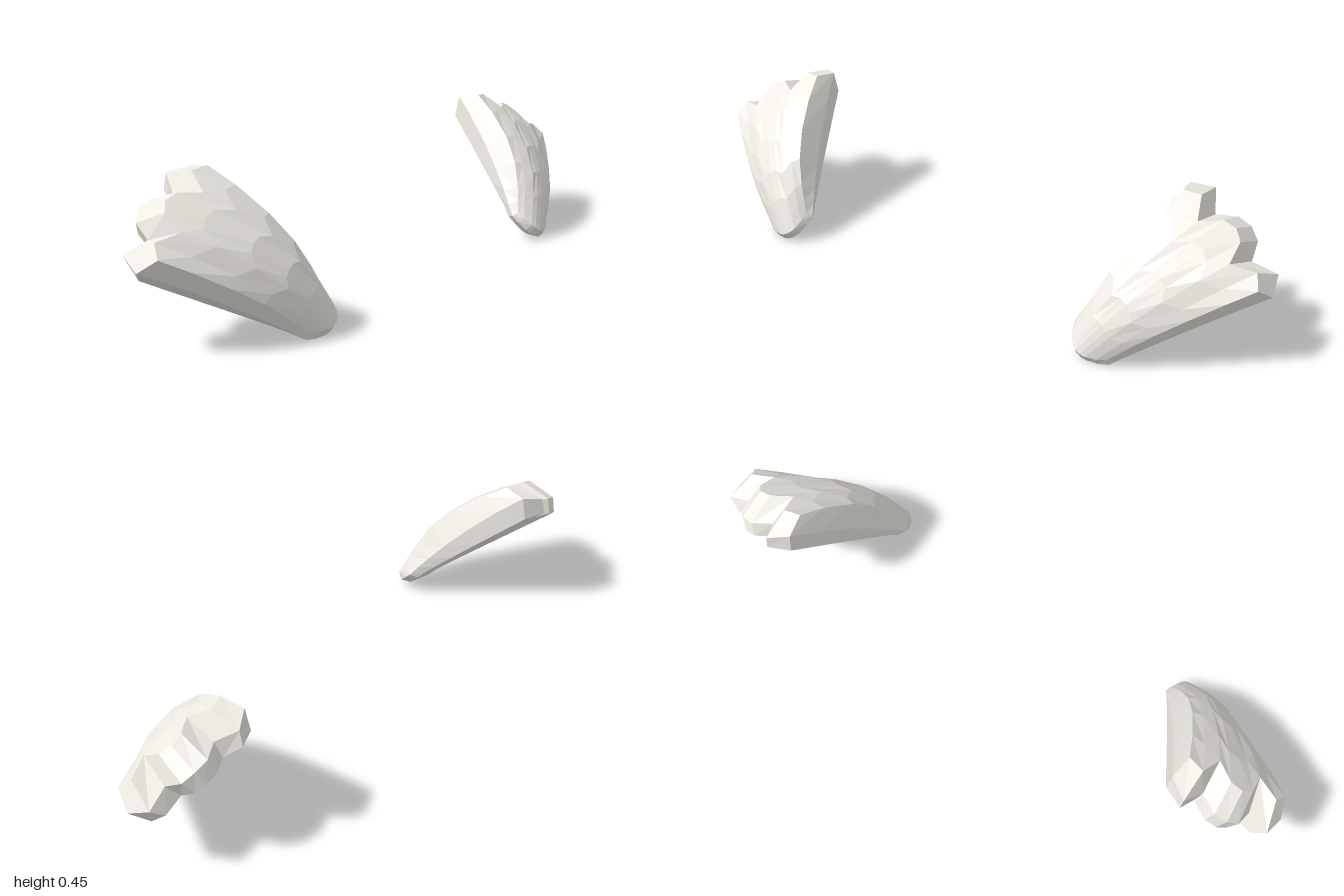
import * as THREE from 'three';

// Local frame of one fin: W across, L along, N out of the upper face
const O = new THREE.Vector3(0.57, 0.05, 0.2);
const W = new THREE.Vector3(0.834, -0.48, 0.269);
const L = new THREE.Vector3(0.516, 0.516, -0.681);
const N = new THREE.Vector3(0.188, 0.707, 0.678);

// Columns across the fin; the notches between the three lobes sit at +-0.42
const S = [-1, -0.76, -0.42, -0.22, 0, 0.22, 0.42, 0.76, 1];
const T = [0, 0.08, 0.18, 0.34, 0.55, 0.8, 1];
const END_TOP = [0.475, 0.507, 0.45, 0.51, 0.525, 0.51, 0.447, 0.495, 0.465];
const END_RIM = [0.512, 0.563, 0.513, 0.563, 0.574, 0.562, 0.512, 0.55, 0.495];
const END_LOW = [0.485, 0.545, 0.49, 0.545, 0.556, 0.542, 0.487, 0.525, 0.48];
// Arched profile of the upper face: length, height
const ARCH = [[-0.03, 0.01], [0.06, 0.064], [0.13, 0.097], [0.23, 0.12], [0.33, 0.128], [0.445, 0.116], [0.52, 0.1]];

const { lerp } = THREE.MathUtils;
const isNotch = (i) => i === 2 || i === 6;
const halfWidth = (t) => 0.083 + 0.12 * t;

function arch(v) {
  let k = 1;
  while (k < ARCH.length - 1 && v > ARCH[k][0]) k++;
  const [a, b] = [ARCH[k - 1], ARCH[k]];
  return lerp(a[1], b[1], (v - a[0]) / (b[0] - a[0]));
}

// Points of the three layers at column i and row j, as [across, along, out]
const layers = {
  top(i, j) {
    const s = S[i], t = T[j];
    const v = lerp(-0.035 + 0.055 * s * s, END_TOP[i], t);
    const base = arch(v - 0.055 * s * s * (1 - t));
    const crown = 0.028 * s * s * Math.sin(Math.PI * Math.min(1, t * 0.75 + 0.1));
    const tilt = 0.013 * s * Math.sin(Math.PI * t);
    return [s * halfWidth(t) * 0.88, v, base - crown - tilt];
  },
  rim(i, j) {
    const s = S[i], t = T[j];
    let n = -0.022 + 0.13 * t - 0.07 * t * t;
    if (j === T.length - 1 && Math.abs(s) < 1) n = isNotch(i) ? 0.027 : 0.013;
    return [s * halfWidth(t), lerp(-0.037 + 0.055 * s * s, END_RIM[i], t), n];
  },
  low(i, j) {
    const s = S[i], t = T[j];
    const n = -0.042 + (0.008 + 0.01 * s * s) * Math.sqrt(t) + (isNotch(i) ? 0.007 * t : 0);
    return [s * halfWidth(t) * 0.86, lerp(-0.012 + 0.05 * s * s, END_LOW[i], t), n];
  },
};

function finGeometry(side) {
  const cols = S.length, rows = T.length;
  const positions = [], index = [];
  const add = ([u, v, n]) => {
    const p = O.clone().addScaledVector(W, u).addScaledVector(L, v).addScaledVector(N, n);
    positions.push(p.x * side, p.y, p.z);
    return positions.length / 3 - 1;
  };
  const tri = (a, b, c) => (side > 0 ? index.push(a, b, c) : index.push(a, c, b));
  const quad = (a, b, c, d) => { tri(a, b, c); tri(a, c, d); };

  // Upper and lower faces
  const grid = (layer) => S.map((_, i) => T.map((_, j) => add(layer(i, j))));
  const top = grid(layers.top), low = grid(layers.low);
  for (let i = 0; i < cols - 1; i++) {
    for (let j = 0; j < rows - 1; j++) {
      quad(top[i][j], top[i + 1][j], top[i + 1][j + 1], top[i][j + 1]);
      quad(low[i][j], low[i][j + 1], low[i + 1][j + 1], low[i + 1][j]);
    }
  }

  // Ridged rim joining the two faces
  const loop = [];
  for (let i = 0; i < cols - 1; i++) loop.push([i, 0]);
  for (let j = 0; j < rows - 1; j++) loop.push([cols - 1, j]);
  for (let i = cols - 1; i > 0; i--) loop.push([i, rows - 1]);
  for (let j = rows - 1; j > 0; j--) loop.push([0, j]);
  const rim = loop.map(([i, j]) => add(layers.rim(i, j)));
  loop.forEach(([i, j], k) => {
    const m = (k + 1) % loop.length;
    const [p, q] = loop[m];
    quad(rim[k], rim[m], top[p][q], top[i][j]);
    quad(low[i][j], low[p][q], rim[m], rim[k]);
  });

  const geometry = new THREE.BufferGeometry();
  geometry.setAttribute('position', new THREE.Float32BufferAttribute(positions, 3));
  geometry.setIndex(index);
  geometry.computeVertexNormals();
  return geometry;
}

export function createModel() {
  const model = new THREE.Group();
  model.name = 'finPair';
  const material = new THREE.MeshStandardMaterial({ color: 0xeeebe4, flatShading: true });
  for (const [name, side] of [['leftFin', 1], ['rightFin', -1]]) {
    const fin = new THREE.Mesh(finGeometry(side), material);
    fin.name = name;
    model.add(fin);
  }
  return model;
}
